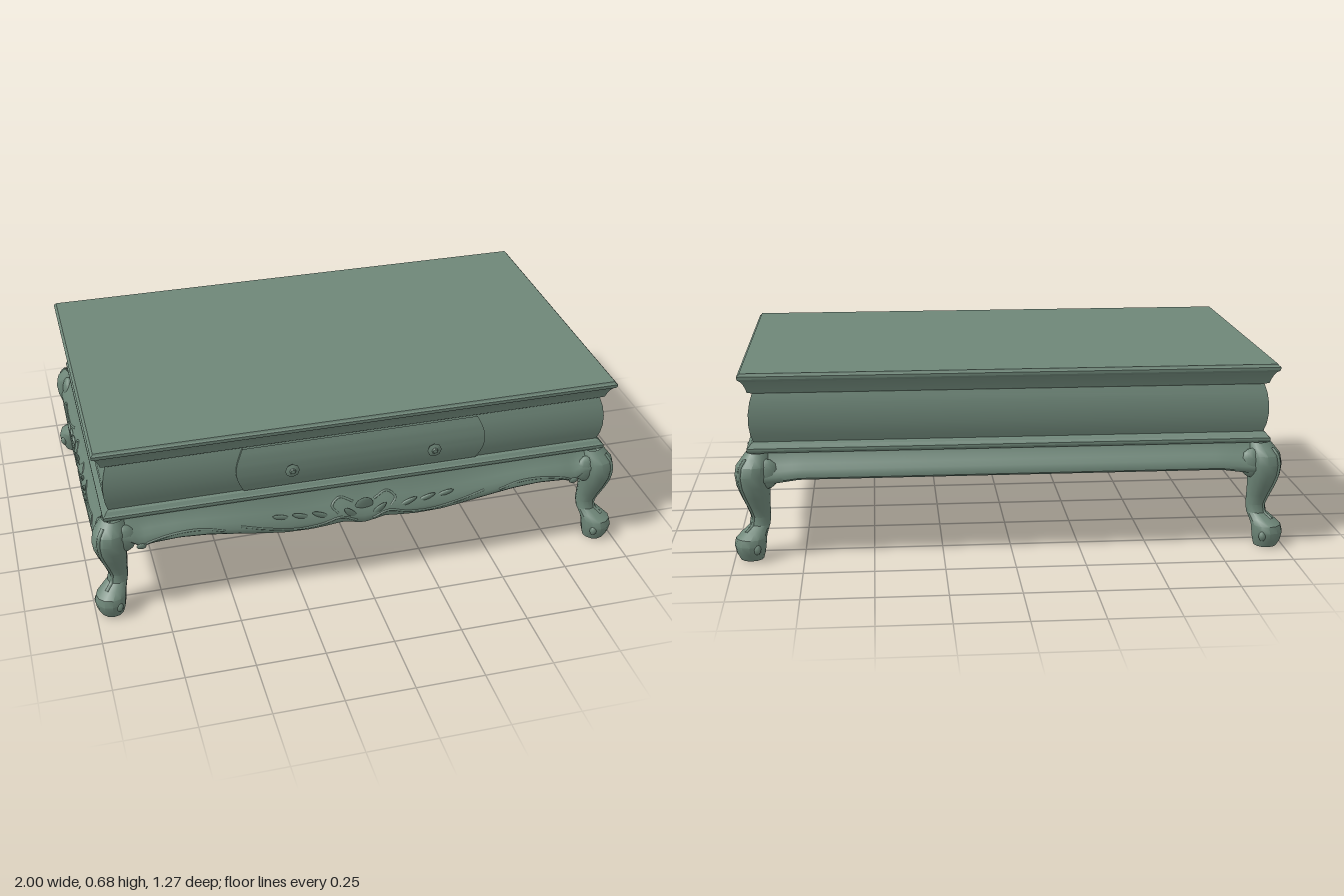
import * as THREE from 'three';
import { toCreasedNormals } from 'three/addons/utils/BufferGeometryUtils.js';

const material = new THREE.MeshStandardMaterial({ color: 0x6e8678, side: THREE.DoubleSide });
const V = (x, y, z) => new THREE.Vector3(x, y, z);

function add(parent, name, geometry) {
  const mesh = new THREE.Mesh(geometry, material);
  mesh.name = name;
  parent.add(mesh);
  return mesh;
}

// Skin a list of equally long rows of points
function skin(rows, crease = 0.5) {
  const n = rows[0].length, index = [];
  for (let r = 0; r < rows.length - 1; r++) {
    for (let c = 0; c < n - 1; c++) {
      const a = r * n + c, d = a + n;
      index.push(a, a + 1, d, a + 1, d + 1, d);
    }
  }
  const g = new THREE.BufferGeometry().setFromPoints(rows.flat());
  g.setIndex(index);
  return toCreasedNormals(g, crease);
}

// Piecewise linear lookup in [key, value] pairs
function lookup(table, k) {
  for (let i = 1; i < table.length; i++) {
    const [k0, v0] = table[i - 1], [k1, v1] = table[i];
    if (k <= k1) return v0 + (v1 - v0) * Math.max(0, (k - k0) / (k1 - k0));
  }
  return table[table.length - 1][1];
}

// Case outline: [height, half depth]; the half width is larger by a fixed amount
const CASE = [
  [0.385, 0.555], [0.388, 0.566], [0.397, 0.571], [0.405, 0.571], [0.409, 0.565], [0.42, 0.557],
  [0.425, 0.548], [0.455, 0.557], [0.49, 0.562], [0.53, 0.562], [0.57, 0.556], [0.602, 0.546],
  [0.606, 0.551], [0.622, 0.556], [0.638, 0.563], [0.65, 0.571], [0.654, 0.577], [0.66, 0.582], [0.67, 0.583],
  [0.674, 0.577], [0.68, 0.574],
];

function makeCase(parent) {
  const ring = (y, hx, hz) => [V(-hx, y, hz), V(hx, y, hz), V(hx, y, -hz), V(-hx, y, -hz), V(-hx, y, hz)];
  const rows = CASE.map(([y, h]) => ring(y, h + (y > 0.603 ? 0.385 : 0.373), h));
  rows.push(ring(0.68, 0, 0));
  add(parent, 'caseAndTop', skin(rows, 0.2));

  // Underside board, set between the aprons
  const board = add(parent, 'undersideBoard', new THREE.PlaneGeometry(1.87, 1.13));
  board.rotation.x = Math.PI / 2;
  board.position.y = 0.322;
}

// Drawer front with bowed ends, following the bulge of the case
function makeDrawer(parent) {
  const rows = [];
  for (let i = 0; i <= 12; i++) {
    const s = i / 12, y = 0.426 + s * 0.175;
    const w = 0.437 + 0.028 * Math.sin(s * Math.PI), z = lookup(CASE, y);
    rows.push([V(-w, y, z - 0.01), V(-w, y, z + 0.008), V(w, y, z + 0.008), V(w, y, z - 0.01)]);
  }
  add(parent, 'drawerFront', skin(rows));
  const profile = [[0.018, 0], [0.012, 0.006], [0.007, 0.01], [0.007, 0.018], [0.025, 0.02], [0.027, 0.024], [0.012, 0.029], [0.008, 0.034], [0, 0.035]]
    .map(([r, h]) => new THREE.Vector2(r, h));
  for (const s of [-1, 1]) {
    const knob = add(parent, 'drawerKnob', toCreasedNormals(new THREE.LatheGeometry(profile, 8), 0.3));
    knob.rotation.x = Math.PI / 2;
    knob.position.set(s * 0.265, 0.503, 0.563);
  }
}

// Apron section: [fraction of height down, outward offset], outside then inside
const SECTION = [[0, 0], [0.2, 0.008], [0.4, 0.022], [0.6, 0.036], [0.78, 0.044], [0.92, 0.044], [1, 0.036]];
const INSIDE = [[1, 0], [0.5, -0.015], [0, -0.02]];
const FRONT_EDGE = [[0, 0.244], [0.03, 0.249], [0.08, 0.26], [0.13, 0.254], [0.2, 0.248], [0.3, 0.25], [0.4, 0.264],
  [0.5, 0.279], [0.58, 0.29], [0.68, 0.296], [0.78, 0.29], [0.82, 0.278], [0.86, 0.31], [0.92, 0.32]];
const BACK_EDGE = [[0, 0.296], [0.76, 0.296], [0.84, 0.285], [0.92, 0.28]];
const SIDE_EDGE = [[0, 0.24], [0.05, 0.254], [0.09, 0.246], [0.14, 0.24], [0.2, 0.245], [0.26, 0.255], [0.53, 0.255]];

function makeApron(parent, name, { edge, half, base, angle, swell = 0, carve }) {
  const g = new THREE.Group();
  g.name = name;
  g.rotation.y = angle;
  parent.add(g);
  const bottom = u => lookup(edge, Math.abs(u));
  const point = (u, t, out) =>
    V(u, 0.387 + (bottom(u) - 0.387) * t, base + out + swell * t * Math.cos(u / half * Math.PI / 2) ** 2);
  const steps = 96;
  const rows = [...SECTION, ...INSIDE].map(([t, out]) =>
    Array.from({ length: steps + 1 }, (_, i) => point(half - 2 * half * i / steps, t, out)));
  add(g, 'apronPanel', skin(rows, 0.8));
  if (!carve) return;

  // Carving is laid half sunk into the panel
  const onFace = (u, y) => {
    const t = (0.387 - y) / (0.387 - bottom(u));
    return point(u, t, lookup(SECTION, t) - 0.002);
  };
  const strand = (pts, r) => {
    const curve = new THREE.CatmullRomCurve3(pts.map(([u, y]) => onFace(u, y)));
    add(g, 'carvedScroll', new THREE.TubeGeometry(curve, 20, r, 6));
  };
  const leaf = (u, y, length, width, turn) => {
    const m = add(g, 'carvedLeaf', new THREE.SphereGeometry(1, 12, 8));
    m.scale.set(length, width, 0.007);
    m.rotation.set(0.25, 0, turn);
    m.position.copy(onFace(u, y));
  };
  carve(strand, leaf);
}

function carveFront(strand, leaf) {
  leaf(0, 0.31, 0.035, 0.045, 0);
  for (const s of [-1, 1]) {
    strand([[s * 0.03, 0.262], [s * 0.09, 0.285], [s * 0.16, 0.268], [s * 0.25, 0.262], [s * 0.36, 0.28], [s * 0.46, 0.305]], 0.005);
    strand([[s * 0.04, 0.33], [s * 0.09, 0.35], [s * 0.12, 0.325], [s * 0.1, 0.3]], 0.005);
    strand([[s * 0.52, 0.3], [s * 0.6, 0.318], [s * 0.7, 0.318], [s * 0.79, 0.3], [s * 0.82, 0.283]], 0.005);
    leaf(s * 0.05, 0.29, 0.045, 0.014, s * 0.9);
    for (let i = 0; i < 3; i++) leaf(s * (0.16 + i * 0.075), 0.3 + 0.006 * i, 0.045 - i * 0.005, 0.012, s * (0.55 - i * 0.1));
    leaf(s * 0.82, 0.285, 0.018, 0.014, 0);
  }
}

function carveSide(strand, leaf) {
  leaf(0, 0.29, 0.022, 0.04, 0);
  for (const s of [-1, 1]) {
    strand([[s * 0.02, 0.256], [s * 0.06, 0.268], [s * 0.14, 0.252], [s * 0.22, 0.26], [s * 0.3, 0.275], [s * 0.38, 0.282], [s * 0.44, 0.285]], 0.005);
    strand([[s * 0.44, 0.285], [s * 0.41, 0.307], [s * 0.34, 0.3], [s * 0.24, 0.304], [s * 0.19, 0.32]], 0.005);
    strand([[s * 0.04, 0.3], [s * 0.08, 0.325], [s * 0.11, 0.305], [s * 0.09, 0.285]], 0.005);
    for (let i = 0; i < 3; i++) leaf(s * (0.13 + i * 0.06), 0.293 - i * 0.003, 0.034, 0.011, s * (0.7 - i * 0.2));
  }
}

// Cabriole leg: [height, centre along the corner diagonal, radius]
const LEG = [[0, 0.572, 0], [0, 0.572, 0.042], [0.025, 0.575, 0.052], [0.055, 0.576, 0.057], [0.08, 0.572, 0.055],
  [0.1, 0.558, 0.046], [0.12, 0.542, 0.037], [0.15, 0.538, 0.036], [0.19, 0.545, 0.043], [0.23, 0.553, 0.052],
  [0.27, 0.559, 0.06], [0.31, 0.561, 0.063], [0.345, 0.558, 0.06], [0.37, 0.548, 0.05], [0.39, 0.54, 0.042]];

function makeLeg(parent, sx, sz) {
  const g = new THREE.Group();
  g.name = 'leg';
  parent.add(g);
  const at = (y, d, dx = 0, dz = 0) => V(sx * (d + 0.367 + dx), y, sz * (d + dz));
  const sides = 12;
  const rows = LEG.map(([y, d, r]) => Array.from({ length: sides + 1 }, (_, i) => {
    const a = 2 * Math.PI * i / sides;
    return at(y, d).add(V(Math.sin(a) * r, 0, Math.cos(a) * r));
  }));
  add(g, 'cabrioleLeg', skin(rows, 0.6));

  // Small claws on the foot, and a raised vein down the outer corner
  for (const [dx, dz] of [[0.043, -0.025], [-0.025, 0.043]]) {
    const claw = add(g, 'claw', new THREE.SphereGeometry(0.014, 8, 6));
    claw.scale.y = 1.4;
    claw.position.copy(at(0.045, 0.575, dx, dz));
  }
  const vein = new THREE.CatmullRomCurve3(LEG.slice(5, 14).map(([y, d, r]) => at(y, d + r * 0.67)));
  add(g, 'legVein', new THREE.TubeGeometry(vein, 20, 0.007, 6));

  // Leafy brackets easing the knee into the aprons
  for (const [dx, dz, w, t] of [[-0.05, 0.018, 0.045, 0.026], [0.018, -0.05, 0.026, 0.045]]) {
    const bracket = add(g, 'kneeBracket', new THREE.SphereGeometry(1, 12, 8));
    bracket.scale.set(w, 0.055, t);
    bracket.position.copy(at(0.315, 0.56, dx, dz));
  }
}

export function createModel() {
  const model = new THREE.Group();
  model.name = 'coffeeTable';
  makeCase(model);
  makeDrawer(model);
  makeApron(model, 'frontApron', { edge: FRONT_EDGE, half: 0.92, base: 0.56, angle: 0, swell: 0.008, carve: carveFront });
  makeApron(model, 'backApron', { edge: BACK_EDGE, half: 0.92, base: 0.56, angle: Math.PI });
  for (const s of [-1, 1]) {
    makeApron(model, 'sideApron', { edge: SIDE_EDGE, half: 0.53, base: 0.933, angle: s * Math.PI / 2, carve: carveSide });
    for (const f of [-1, 1]) makeLeg(model, s, f);
  }
  return model;
}
